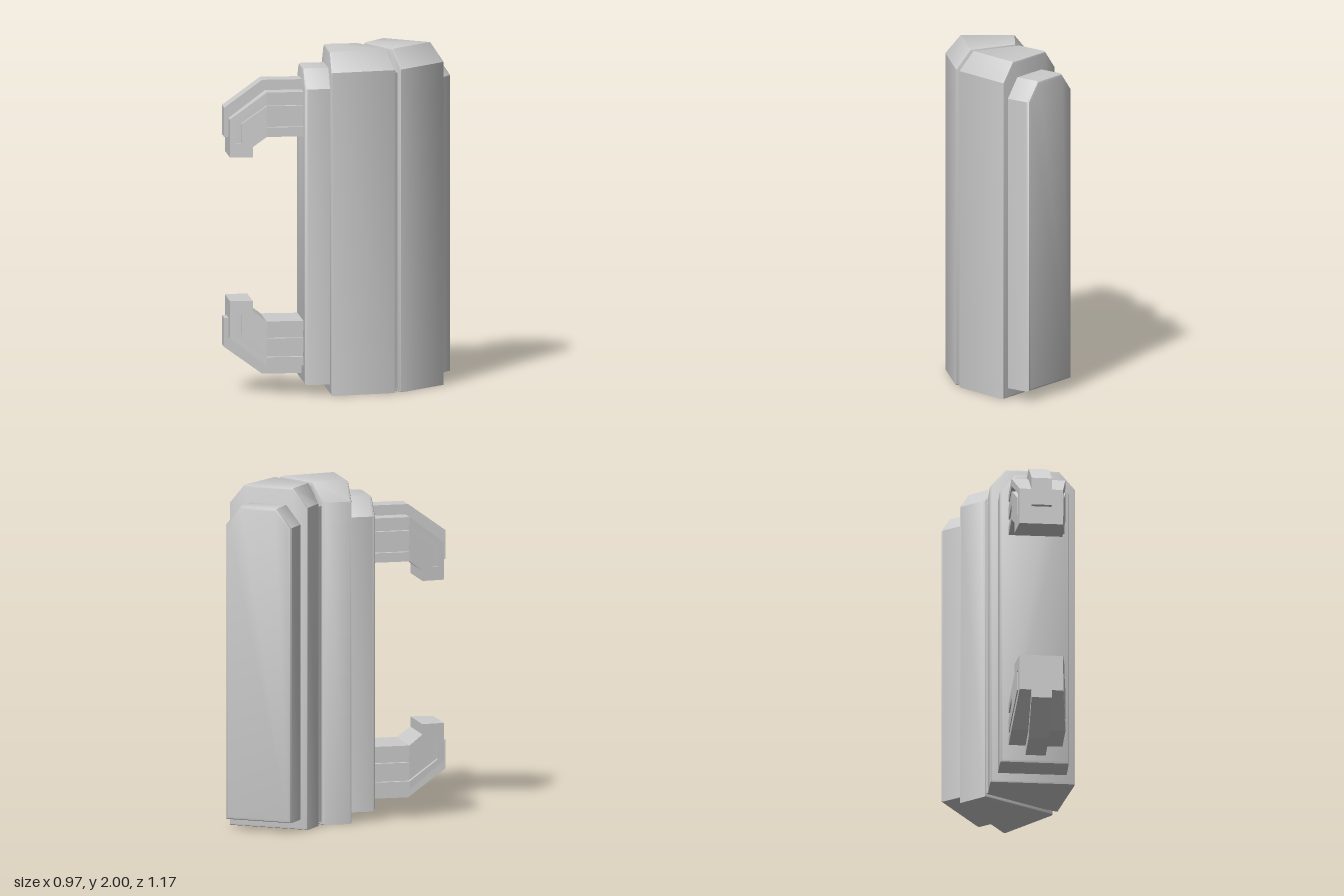
import * as THREE from 'three';
import { toCreasedNormals } from 'three/addons/utils/BufferGeometryUtils.js';

const material = new THREE.MeshStandardMaterial({ color: 0xcccccc });

// Upright outline spanning plan points a (left) to b (right), with chamfered top corners
function outline(a, b, y0, y1, inset) {
  const across = b.clone().sub(a);
  const w = across.length(), cx = 0.09, cy = 0.11, i = inset;
  across.normalize();
  return [
    [i, y0 + i], [w - i, y0 + i], [w - i, y1 - cy - i * 0.4],
    [w - cx - i * 0.4, y1 - i], [cx + i * 0.4, y1 - i], [i, y1 - cy - i * 0.4],
  ].map(([u, y]) => new THREE.Vector3(a.x + across.x * u, y, a.y + across.y * u));
}

// Block lofted from its back edge to its front edge, with softened ends
function block(name, plan, y0, y1, r = 0.018) {
  const [bl, br, fr, fl] = plan.map(([x, z]) => new THREE.Vector2(x, z));
  const along = (p, q, d) => p.clone().add(q.clone().sub(p).setLength(d));
  const steps = [[0, r], [0.3 * r, 0.3 * r], [r, 0]];
  const rings = [
    ...steps.map(([d, i]) => outline(along(bl, fl, d), along(br, fr, d), y0, y1, i)),
    ...steps.slice().reverse().map(([d, i]) => outline(along(fl, bl, d), along(fr, br, d), y0, y1, i)),
  ];
  const pos = [];
  const tri = (...pts) => pts.forEach((p) => pos.push(p.x, p.y, p.z));
  const n = rings[0].length;
  for (let k = 0; k < rings.length - 1; k++) {
    for (let i = 0; i < n; i++) {
      const j = (i + 1) % n, A = rings[k], B = rings[k + 1];
      tri(A[i], A[j], B[j]);
      tri(A[i], B[j], B[i]);
    }
  }
  const first = rings[0], last = rings[rings.length - 1];
  for (let i = 1; i < n - 1; i++) {
    tri(first[0], first[i + 1], first[i]);
    tri(last[0], last[i], last[i + 1]);
  }
  const g = new THREE.BufferGeometry();
  g.setAttribute('position', new THREE.Float32BufferAttribute(pos, 3));
  const mesh = new THREE.Mesh(toCreasedNormals(g, 0.65), material);
  mesh.name = name;
  return mesh;
}

// Clip: local x points away from the mount, z runs across its width
const BEND = 0.215, TIP = 0.427;
function clip(name, lower) {
  const group = new THREE.Group();
  group.name = name;
  const add = (part, width, pts, taper = true) => {
    const shape = new THREE.Shape(pts.map(([t, y]) => new THREE.Vector2(t, lower ? 1.94 - y : y)));
    const g = new THREE.ExtrudeGeometry(shape, { depth: width, bevelEnabled: false });
    g.translate(0, 0, -width / 2);
    if (taper) {
      const p = g.attributes.position;
      for (let i = 0; i < p.count; i++) {
        const k = Math.max(0, (p.getX(i) - BEND) / (TIP - BEND));
        p.setZ(i, p.getZ(i) * (1 - 0.19 * k));
      }
      g.computeVertexNormals();
    }
    const mesh = new THREE.Mesh(g, material);
    mesh.name = part;
    group.add(mesh);
  };
  const band = (y0, y1) => [[-0.05, y0], [BEND, y0], [BEND, y1], [-0.05, y1]];

  // Recessed core of the arm and hook
  add('armCore', 0.26, band(1.515, 1.765));
  add('hookCore', 0.26, [[BEND, 1.765], [TIP - 0.004, 1.607], [TIP - 0.004, 1.394],
    [0.299, 1.394], [0.299, 1.454], [BEND, 1.515]]);
  // Raised rails along the arm
  for (const [y0, y1] of [[1.72, 1.77], [1.61, 1.69], [1.51, 1.565]]) add('armRail', 0.312, band(y0, y1));
  // Hook cheeks, with the slot running on from the upper groove
  add('hookCheeks', 0.312, [[BEND, 1.77], [TIP, 1.61], [TIP, 1.39], [0.295, 1.39], [0.295, 1.45],
    [BEND, 1.51], [BEND, 1.69], [0.36, 1.585], [0.36, 1.47], [0.39, 1.47], [0.39, 1.6], [BEND, 1.72]]);
  // Central spine over the top and down the tip
  add('spine', 0.117, [[-0.05, 1.83], [0.231, 1.83], [0.452, 1.67], [0.452, 1.5],
    [0.4, 1.5], [0.4, 1.58], [0.2, 1.7], [-0.05, 1.7]], false);

  group.position.set(-0.081, 0, 0.21);
  group.rotation.y = Math.PI + 0.714;
  return group;
}

export function createModel() {
  const model = new THREE.Group();
  model.name = 'angledHousing';
  // Plan corners: back left, back right, front right, front left
  model.add(
    block('rearCap', [[0.025, -0.552], [0.43, -0.587], [0.447, -0.4], [0.042, -0.365]], 0.06, 1.9),
    block('rearBody', [[-0.003, -0.395], [0.485, -0.437], [0.447, -0.048], [0.01, -0.22]], 0, 2, 0.012),
    block('seamCore', [[0.03, -0.28], [0.43, -0.12], [0.39, 0.02], [0.0, -0.14]], 0.02, 1.98),
    block('frontBody', [[0.0, -0.192], [0.435, -0.018], [0.19, 0.295], [-0.132, -0.078]], 0, 2, 0.014),
    block('mount', [[-0.062, -0.078], [0.198, 0.222], [0.045, 0.357], [-0.217, 0.055]], 0.06, 1.9),
    clip('upperClip', false),
    clip('lowerClip', true),
  );
  return model;
}
